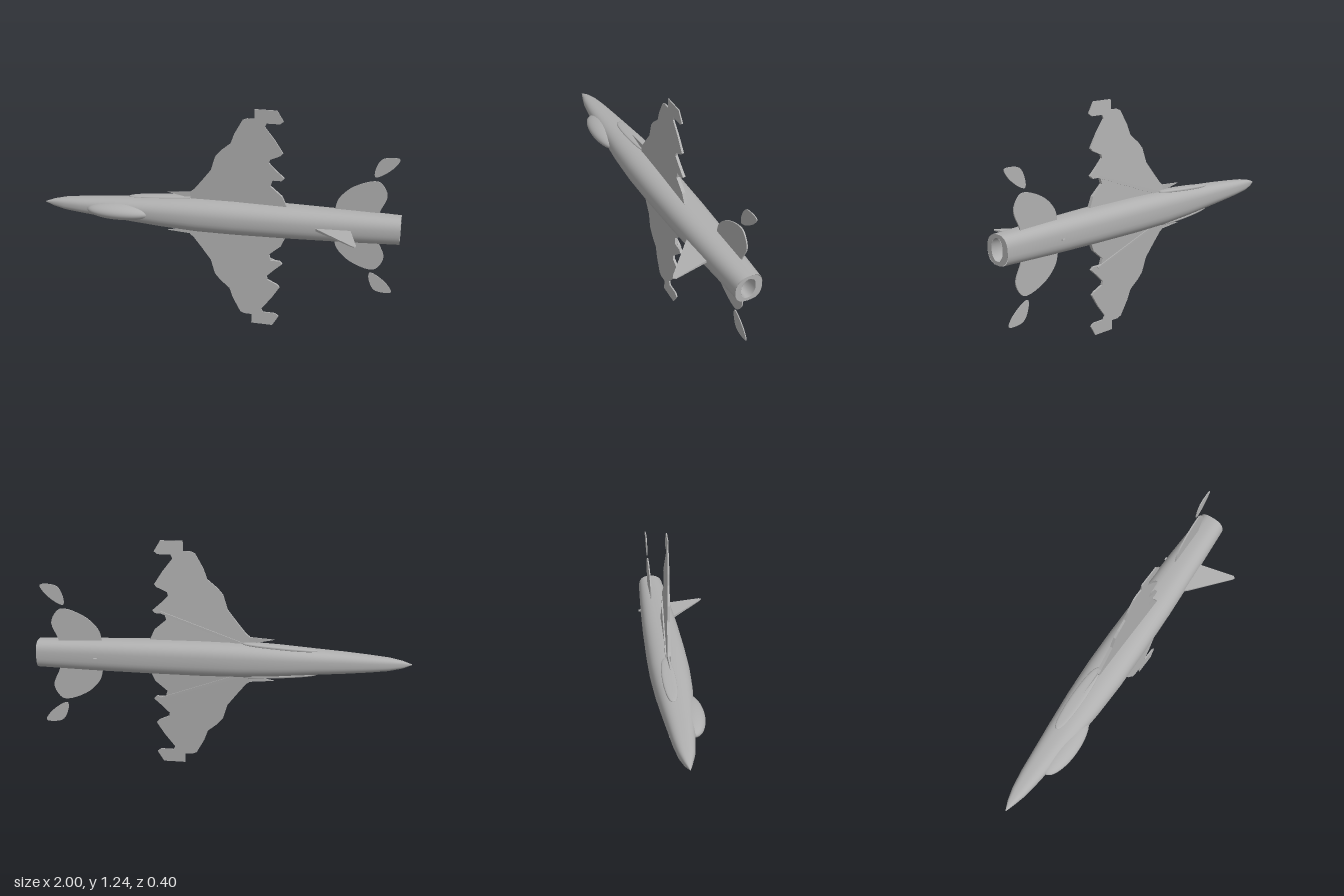
import * as THREE from 'three';

const CY = 0.6215; // height of the aircraft's centre line

export function createModel() {
  const model = new THREE.Group();
  model.name = 'jet';
  const grey = new THREE.MeshStandardMaterial({ color: 0xb0b0b0, side: THREE.DoubleSide });
  grey.name = 'airframe grey';

  const add = (name, geometry) => {
    const mesh = new THREE.Mesh(geometry, grey);
    mesh.name = name;
    model.add(mesh);
    return mesh;
  };

  // Loft along x; each section is [x, zBelly, zBack, halfWidth], squareness sets the belly exponent
  const loft = (sections, squareness = 2, n = 40) => {
    const pos = [], index = [];
    sections.forEach(([x, z0, z1, w], i) => {
      for (let j = 0; j < n; j++) {
        const a = (j / n) * Math.PI * 2, c = Math.cos(a), s = Math.sin(a);
        const e = 2 / (s < 0 ? squareness : (squareness + 2) / 2);
        pos.push(x, CY + w * Math.sign(c) * Math.abs(c) ** e,
          (z0 + z1) / 2 + ((z1 - z0) / 2) * Math.sign(s) * Math.abs(s) ** e);
        if (i < sections.length - 1) {
          const p = i * n + j, q = i * n + (j + 1) % n;
          index.push(p, q, p + n, q, q + n, p + n);
        }
      }
    });
    const g = new THREE.BufferGeometry();
    g.setAttribute('position', new THREE.Float32BufferAttribute(pos, 3));
    g.setIndex(index);
    g.computeVertexNormals();
    return g;
  };

  // Fuselage, smoothed through a few stations
  const stations = [
    [-1, -0.098, -0.094, 0.002], [-0.95, -0.119, -0.078, 0.02], [-0.88, -0.138, -0.058, 0.034],
    [-0.78, -0.152, -0.043, 0.044], [-0.65, -0.163, -0.028, 0.055], [-0.5, -0.176, -0.012, 0.065],
    [-0.3, -0.191, 0.006, 0.08], [-0.1, -0.199, 0.015, 0.09], [0.1, -0.199, 0.015, 0.092],
    [0.4, -0.193, 0.009, 0.089], [0.7, -0.182, -0.004, 0.084], [1, -0.166, -0.02, 0.076],
  ];
  add('fuselage', loft(stations, 2.8));

  // Tail pipe: rim, inner wall and closed end
  const rim = [1, -0.166, -0.02, 0.076], lip = [1, -0.13, -0.05, 0.057], deep = [0.88, -0.12, -0.06, 0.045];
  add('nozzleRim', loft([rim, lip], 2.4));
  add('nozzleWall', loft([lip, deep]));
  add('nozzleEnd', loft([deep, [0.88, -0.09, -0.09, 0]]));

  // Canopy
  const canopy = new THREE.SphereGeometry(1, 40, 24);
  canopy.scale(0.19, 0.045, 0.073);
  add('canopy', canopy).position.set(-0.54, CY, -0.039);

  // Plate in the x-y plane; zAt gives the middle height and thickness for each x and d (distance from centre)
  const plate = (points, zAt, curved = false) => {
    const v = points.map(([x, y]) => new THREE.Vector2(x, y - CY));
    const shape = curved
      ? new THREE.Shape(new THREE.CatmullRomCurve3(v.map(p => new THREE.Vector3(p.x, p.y, 0)), true)
        .getPoints(40).slice(0, -1).map(p => new THREE.Vector2(p.x, p.y)))
      : new THREE.Shape(v);
    const g = new THREE.ExtrudeGeometry(shape, { depth: 1, bevelEnabled: false });
    const p = g.attributes.position;
    for (let i = 0; i < p.count; i++) {
      const [mid, thick] = zAt(p.getX(i), p.getY(i));
      p.setZ(i, mid + (p.getZ(i) - 0.5) * thick);
    }
    g.computeVertexNormals();
    return g;
  };
  // Adds a part on both sides of the centre line
  const pair = (name, geometry) => {
    add(name + 'Upper', geometry).position.y = CY;
    const other = geometry.clone().scale(1, -1, 1);
    const p = other.attributes.position, nrm = other.attributes.normal;
    for (let i = 0; i < p.count; i += 3) { // restore the winding after mirroring
      for (const attr of [p, nrm]) {
        const b = [attr.getX(i + 1), attr.getY(i + 1), attr.getZ(i + 1)];
        attr.setXYZ(i + 1, attr.getX(i + 2), attr.getY(i + 2), attr.getZ(i + 2));
        attr.setXYZ(i + 2, ...b);
      }
    }
    other.computeVertexNormals();
    add(name + 'Lower', other).position.y = CY;
  };

  // Main wings with ragged trailing edges
  const wingZ = (x, d) => {
    const t = (d - 0.09) / 0.53;
    return [-0.095 + 0.035 * x + 0.025 * t, 0.02 - 0.014 * t];
  };
  pair('wing', plate([
    [-0.14, 0.68], [-0.15, 0.745], [-0.13, 0.76], [-0.085, 0.815], [-0.03, 0.885], [-0.005, 0.965],
    [0.025, 1.0], [0.08, 1.045], [0.1, 1.1], [0.145, 1.18], [0.17, 1.19], [0.21, 1.19], [0.21, 1.243],
    [0.33, 1.243], [0.365, 1.185], [0.345, 1.17], [0.275, 1.17], [0.265, 1.15], [0.32, 1.08],
    [0.365, 1.01], [0.35, 0.995], [0.295, 0.97], [0.29, 0.95], [0.33, 0.91], [0.375, 0.87],
    [0.36, 0.855], [0.31, 0.855], [0.3, 0.82], [0.365, 0.765], [0.39, 0.71], [0.39, 0.68],
  ], wingZ));
  // Pointed strake ahead of each wing root
  pair('strake', plate([[-0.28, 0.735], [-0.15, 0.745], [-0.1, 0.7], [-0.18, 0.715]],
    () => [-0.103, 0.008]));
  // Slim diagonal ridge under each wing
  pair('wingRidge', plate([[-0.14, 0.705], [0.33, 0.868], [0.34, 0.86], [-0.1, 0.7]],
    (x, d) => [wingZ(x, d)[0] - 0.009, 0.014]));

  // Tailplanes and their separate outer tips
  pair('tailplane', plate([
    [0.65, 0.68], [0.65, 0.72], [0.665, 0.765], [0.73, 0.83], [0.84, 0.874], [0.88, 0.868],
    [0.92, 0.8], [0.89, 0.72], [0.87, 0.68],
  ], () => [-0.119, 0.007], true));
  pair('tailTip', plate([
    [0.85, 0.897], [0.845, 0.92], [0.865, 0.98], [0.89, 1.002], [0.972, 1.003], [0.95, 0.96], [0.88, 0.905],
  ], () => [-0.123, 0.005], true));

  // Intake fairings hugging the flanks
  const intake = new THREE.SphereGeometry(1, 32, 16);
  const ip = intake.attributes.position;
  for (let i = 0; i < ip.count; i++) { // blunter ends and a flatter outer face
    const f = (v, e) => Math.sign(v) * Math.abs(v) ** e;
    ip.setXYZ(i, 0.2 * ip.getX(i), 0.011 * f(ip.getY(i), 0.6), 0.036 * f(ip.getZ(i), 0.8));
  }
  intake.computeVertexNormals();
  for (const s of [1, -1]) {
    const m = add(s > 0 ? 'intakeUpper' : 'intakeLower', intake);
    m.position.set(-0.31, CY + s * 0.077, -0.117);
    m.rotation.z = s * 0.07;
  }

  // Fin on the back, tapering toward its tip
  const finShape = new THREE.Shape([[0.54, -0.02], [0.57, 0.015], [0.765, 0.188], [0.78, 0.197],
    [0.79, 0.185], [0.745, 0], [0.745, -0.02]].map(([x, z]) => new THREE.Vector2(x, z)));
  const fin = new THREE.ExtrudeGeometry(finShape, { depth: 1, bevelEnabled: false });
  const fp = fin.attributes.position;
  for (let i = 0; i < fp.count; i++) {
    fp.setZ(i, (fp.getZ(i) - 0.5) * (0.014 - 0.045 * Math.max(0, fp.getY(i))));
  }
  fin.rotateX(Math.PI / 2);
  fin.computeVertexNormals();
  add('fin', fin).position.y = CY;

  // Small blade aerial on the belly
  add('aerial', new THREE.BoxGeometry(0.018, 0.005, 0.016)).position.set(0.67, CY, -0.188);

  return model;
}
